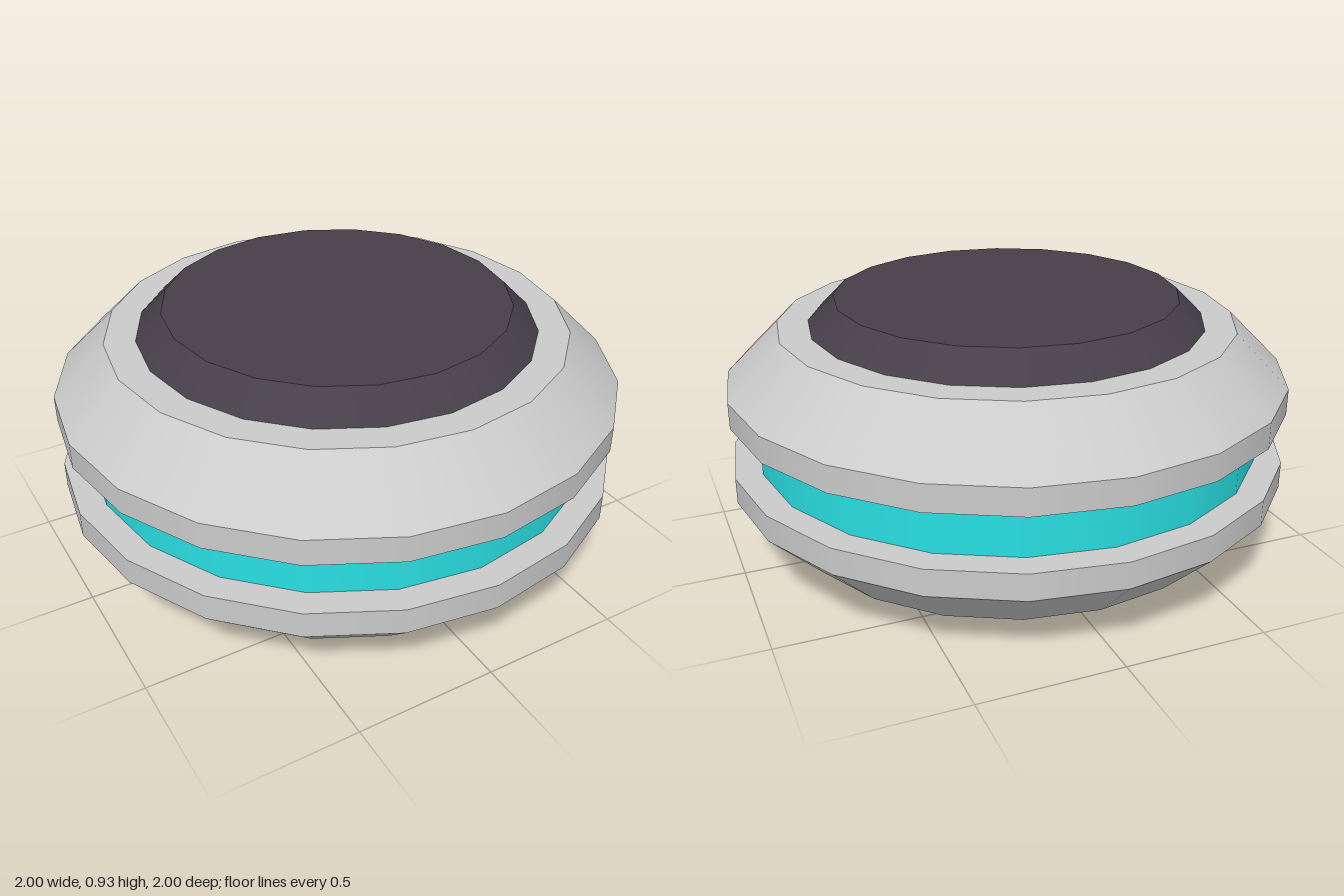
import * as THREE from 'three';
import { mergeGeometries } from 'three/addons/utils/BufferGeometryUtils.js';

const SIDES = 20;
const HEIGHT = 0.93;

const grey = new THREE.MeshStandardMaterial({ color: 0xcccccc });
const dark = new THREE.MeshStandardMaterial({ color: 0x463f49 });
const teal = new THREE.MeshStandardMaterial({ color: 0x29e0e4 });

// Revolves a profile of [radius, y], smooth around each band and sharp between bands
function turned(name, profile, material) {
  const bands = [];
  for (let i = 0; i < profile.length - 1; i++) {
    const pair = [profile[i], profile[i + 1]].map(([r, y]) => new THREE.Vector2(r, y));
    bands.push(new THREE.LatheGeometry(pair, SIDES));
  }
  const mesh = new THREE.Mesh(mergeGeometries(bands), material);
  mesh.name = name;
  return mesh;
}

// Flips a profile to the other half, keeping its faces outward
const mirrored = (profile) => profile.map(([r, y]) => [r, HEIGHT - y]).reverse();

export function createModel() {
  const group = new THREE.Group();
  group.name = 'layeredDisc';

  const cap = [[0, 0], [0.61, 0], [0.703, 0.093]];
  const shell = [[0.703, 0.093], [0.812, 0.093], [1, 0.279], [1, 0.372], [0.905, 0.372]];

  group.add(
    turned('bottomCap', cap, dark),
    turned('lowerShell', shell, grey),
    // Recessed glowing band between the shells
    turned('middleBand', [[0.905, 0.372], [0.905, HEIGHT - 0.372]], teal),
    turned('upperShell', mirrored(shell), grey),
    turned('topCap', mirrored(cap), dark),
  );
  return group;
}
